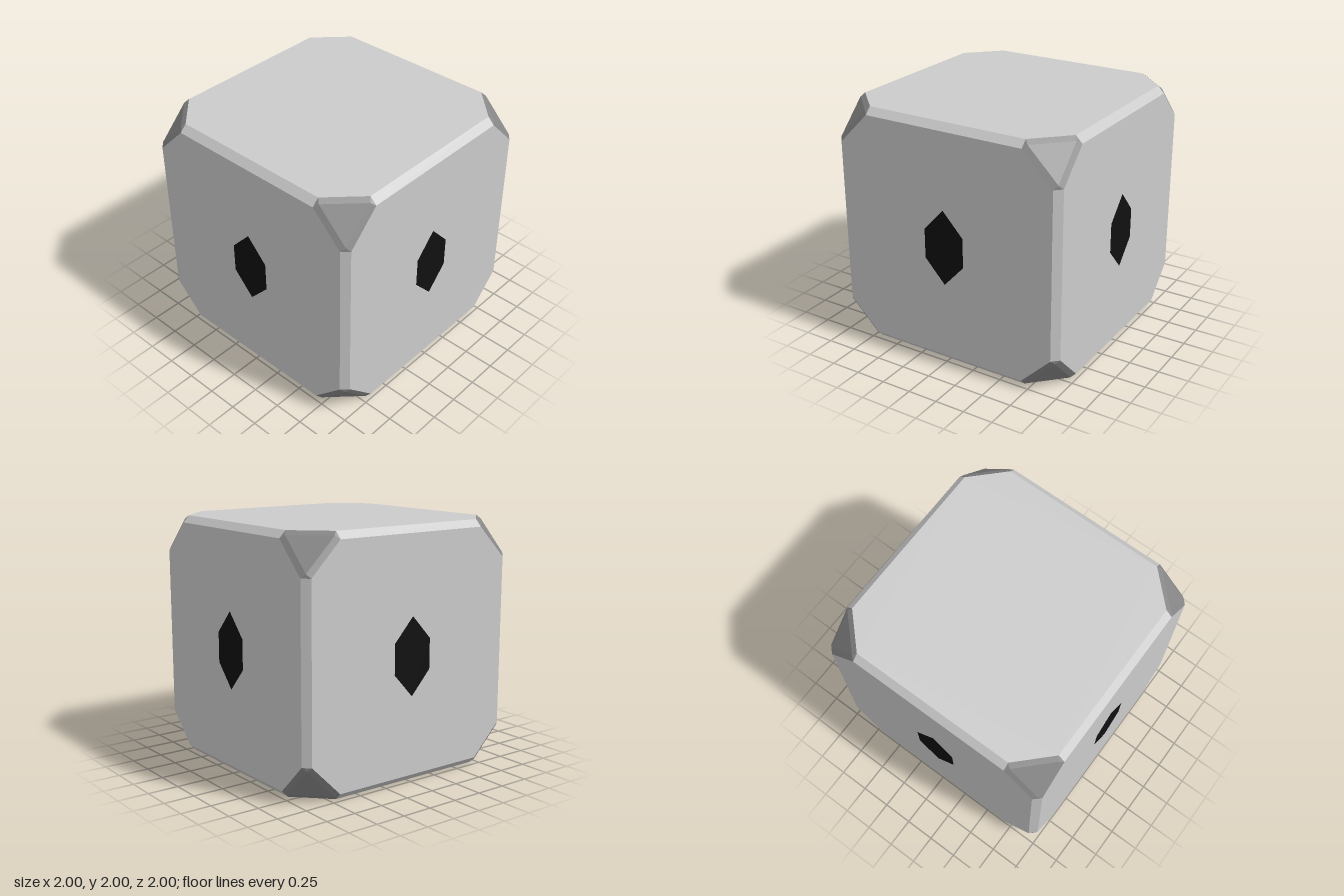
import * as THREE from 'three';
import { ConvexGeometry } from 'three/addons/geometries/ConvexGeometry.js';

const FLAT = 0.945; // half width of a flat face
const CUT = 0.69;   // where the corner cut begins
const mat = (color) => new THREE.MeshStandardMaterial({ color, flatShading: true });

// Square of half width a whose corners are cut back to b
function octagon(a, b) {
  return [[a, -b], [a, b], [b, a], [-b, a], [-a, b], [-a, -b], [-b, -a], [b, -a]]
    .map(([x, y]) => new THREE.Vector2(x, y));
}

function flatShape(points, hole) {
  const shape = new THREE.Shape(points);
  if (hole) shape.holes.push(new THREE.Path(hole));
  return new THREE.ShapeGeometry(shape);
}

export function createModel() {
  const model = new THREE.Group();
  const grey = mat(0xcccccc), panelMat = mat(0xbebebe);
  const cornerMat = mat(0x888888), black = mat(0x101010);

  const add = (parent, name, geometry, material) => {
    const mesh = new THREE.Mesh(geometry, material);
    mesh.name = name;
    parent.add(mesh);
    return mesh;
  };

  const outer = octagon(FLAT, CUT);
  const inner = octagon(0.805, 0.57);
  const hex = [[0, -0.31], [0.175, -0.12], [0.175, 0.125], [0, 0.315], [-0.175, 0.125], [-0.175, -0.12]]
    .map(([x, y]) => new THREE.Vector2(x, y));

  // Four sides: rim, inset panel and dark mark lie flush in one plane
  const rimGeo = flatShape(outer, inner);
  const panelGeo = flatShape(inner, hex);
  const markGeo = flatShape(hex);
  const bevelGeo = new THREE.PlaneGeometry(2 * CUT, (1 - FLAT) * Math.SQRT2);
  const mid = (1 + FLAT) / 2;

  // Corner cap: cut hexagon with a slightly raised triangle on it
  const capPoints = [];
  for (const [x, y, z] of [[CUT, FLAT, 1], [CUT, 1, FLAT], [0.72, 0.97, 0.97]]) {
    capPoints.push(new THREE.Vector3(x, y, z), new THREE.Vector3(y, z, x), new THREE.Vector3(z, x, y));
  }
  const capGeo = new ConvexGeometry(capPoints);

  for (let i = 0; i < 4; i++) {
    const side = new THREE.Group();
    side.name = 'side';
    side.position.y = 1;
    side.rotation.y = i * Math.PI / 2;
    model.add(side);

    add(side, 'sideRim', rimGeo, grey).position.z = 1;
    add(side, 'sidePanel', panelGeo, panelMat).position.z = 1;
    add(side, 'sideMark', markGeo, black).position.z = 1;

    // Bevels along the top, bottom and one upright edge
    for (const s of [1, -1]) {
      const bevel = add(side, 'horizontalBevel', bevelGeo, grey);
      bevel.position.set(0, s * mid, mid);
      bevel.rotation.x = -s * Math.PI / 4;
    }
    const upright = add(side, 'uprightBevel', bevelGeo, grey);
    upright.position.set(mid, 0, mid);
    upright.rotation.set(0, Math.PI / 4, Math.PI / 2);

    // Upper and lower corner caps
    add(side, 'upperCorner', capGeo, cornerMat);
    add(side, 'lowerCorner', capGeo, cornerMat).rotation.z = Math.PI;
  }

  // Plain top and bottom faces
  const plainGeo = flatShape(outer);
  for (const [name, s] of [['topFace', 1], ['bottomFace', -1]]) {
    const face = add(model, name, plainGeo, grey);
    face.position.y = 1 + s;
    face.rotation.x = -s * Math.PI / 2;
  }
  return model;
}
